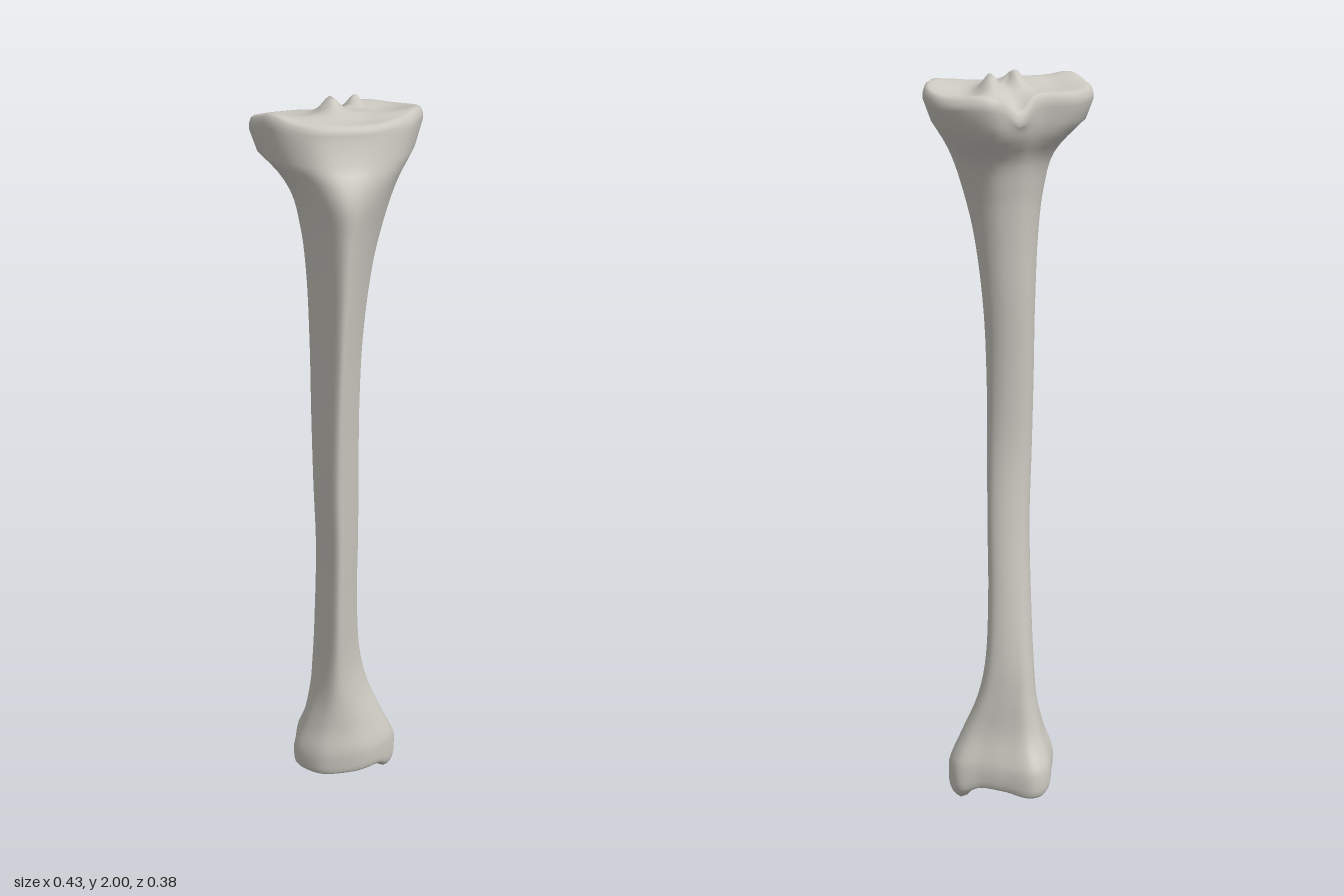
import * as THREE from 'three';

const SEG = 96;

// Cross-section outlines as [x, z], from the front crest round by +x, back and -x
const PLATEAU = [[-.04, .13], [.06, .125], [.15, .085], [.21, -.02], [.19, -.13], [.09, -.19],
  [.0, -.16], [-.06, -.13], [-.15, -.12], [-.21, -.06], [-.19, .04], [-.12, .11]];
const SHAFT = [[-.045, .143], [-.02, .12], [.015, .075], [.04, .03], [.035, 0], [.01, -.02],
  [-.025, -.027], [-.055, -.02], [-.08, .005], [-.093, .04], [-.085, .085], [-.065, .13]];
const ANKLE = [[-.03, .06], [.05, .06], [.12, .03], [.165, -.01], [.155, -.06], [.1, -.09],
  [.04, -.13], [-.03, -.172], [-.085, -.15], [-.117, -.08], [-.135, -.02], [-.09, .04]];

// y, then x range, z range, share of plateau outline, share of ankle outline
const ROWS = [
  [.08, -.13, .168, -.176, .055, 0, 1],
  [.11, -.135, .166, -.174, .064, 0, 1],
  [.2, -.108, .128, -.128, .054, 0, .85],
  [.3, -.083, .088, -.108, .054, 0, .5],
  [.4, -.075, .066, -.095, .058, 0, .25],
  [.6, -.074, .05, -.064, .08, 0, .05],
  [.8, -.077, .045, -.037, .1, 0, 0],
  [1, -.088, .04, -.021, .122, 0, 0],
  [1.2, -.093, .04, -.027, .143, 0, 0],
  [1.4, -.095, .05, -.04, .16, 0, 0],
  [1.6, -.103, .077, -.053, .175, .08, 0],
  [1.7, -.114, .103, -.068, .182, .2, 0],
  [1.79, -.135, .135, -.104, .187, .45, 0],
  [1.84, -.165, .165, -.16, .172, .75, 0],
  [1.88, -.203, .193, -.182, .15, .95, 0],
  [1.92, -.218, .215, -.19, .136, 1, 0],
];
const rowSpline = new THREE.CubicInterpolant(
  ROWS.map(r => r[0]), ROWS.flatMap(r => r.slice(1)), 6, new Float32Array(6));

const normalise = pts => {
  const box = new THREE.Box2().setFromPoints(pts);
  const size = box.getSize(new THREE.Vector2());
  return pts.map(p => p.clone().sub(box.min).divide(size));
};
const outline = pts => {
  const curve = new THREE.CatmullRomCurve3(
    pts.map(([x, z]) => new THREE.Vector3(x, 0, z)), true, 'catmullrom', .5);
  return normalise(Array.from({ length: SEG }, (_, i) => {
    const p = curve.getPoint(i / SEG);
    return new THREE.Vector2(p.x, p.z);
  }));
};
const plateau = outline(PLATEAU), shaft = outline(SHAFT), ankle = outline(ANKLE);

// Horizontal slice through the bone at height y, as [x, z] pairs
function slice(y) {
  const [x0, x1, z0, z1, a, b] = rowSpline.evaluate(y);
  const mixed = normalise(shaft.map((p, i) => p.clone().multiplyScalar(1 - a - b)
    .addScaledVector(plateau[i], a).addScaledVector(ankle[i], b)));
  return mixed.map(p => [x0 + (x1 - x0) * p.x, z0 + (z1 - z0) * p.y]);
}

const bump = (x, z, cx, cz, rx, rz) => Math.exp(-(((x - cx) / rx) ** 2) - ((z - cz) / rz) ** 2);

// Knee surface: two shallow dishes, a twin-peaked ridge and notches before and behind it
const kneeHeight = (x, z) => 1.972 + .18 * Math.min(z, .03) - .2 * Math.max(z - .06, 0)
  - .018 * bump(x, z, .12, -.05, .06, .08)
  - .012 * bump(x, z, -.12, -.03, .06, .06)
  + .035 * bump(x, z, -.02, -.03, .022, .04)
  + .04 * bump(x, z, .055, -.065, .022, .04)
  - .04 * bump(x, z, .01, -.16, .04, .045)
  - .012 * bump(x, z, .03, .07, .06, .04)
  + .012 * bump(x, z, .1, -.17, .08, .05)
  + .01 * bump(x, z, -.18, .03, .04, .06);

// Ankle surface: shallow hollow, inner ankle point and a low rear lip
const ankleHeight = (x, z) => .052
  - .053 * bump(x, z, .13, -.025, .036, .042)
  + .022 * bump(x, z, .0, -.05, .08, .05)
  - .012 * bump(x, z, -.04, -.155, .05, .03);

// Rings that close an end, each with a scale about the middle and an offset from the surface
function capRings(y, heightAt, steps, sign) {
  const base = slice(y);
  const mean = k => base.reduce((s, p) => s + p[k], 0) / SEG;
  const cx = mean(0), cz = mean(1);
  return steps.map(([scale, drop]) => base.map(([px, pz]) => {
    const x = cx + (px - cx) * scale, z = cz + (pz - cz) * scale;
    return [x, heightAt(x, z) - sign * drop, z];
  }));
}

// Joins closed rings, lowest first, into one smooth skin
function loft(rings) {
  const index = [];
  for (let r = 0; r < rings.length - 1; r++) {
    for (let i = 0; i < SEG; i++) {
      const j = (i + 1) % SEG;
      const a = r * SEG + i, b = r * SEG + j, c = a + SEG, d = b + SEG;
      index.push(a, b, c, b, d, c);
    }
  }
  const geometry = new THREE.BufferGeometry();
  geometry.setAttribute('position', new THREE.Float32BufferAttribute(rings.flat(2), 3));
  geometry.setIndex(index);
  geometry.computeVertexNormals();
  return geometry;
}

export function createModel() {
  const bone = new THREE.MeshStandardMaterial({ color: 0xcbc8c0 });
  bone.name = 'bone grey';

  const inner = [.88, .8, .7, .6, .5, .4, .3, .2, .1, .001].map(s => [s, 0]);

  // Ankle end, shaft and knee end form one continuous skin
  const bottom = capRings(.1, ankleHeight, [[.995, .025], [.975, .01], [.94, .002], ...inner], -1).reverse();
  const body = [];
  for (let y = .11; y < 1.885; y += .0221) body.push(slice(y).map(([x, z]) => [x, y, z]));
  const top = capRings(1.92, kneeHeight, [[1, .032], [.995, .018], [.975, .006], [.94, 0], ...inner], 1);

  const shinBone = new THREE.Mesh(loft([...bottom, ...body, ...top]), bone);
  shinBone.name = 'shinBone';

  const model = new THREE.Group();
  model.name = 'lowerLegBone';
  model.add(shinBone);
  return model;
}
